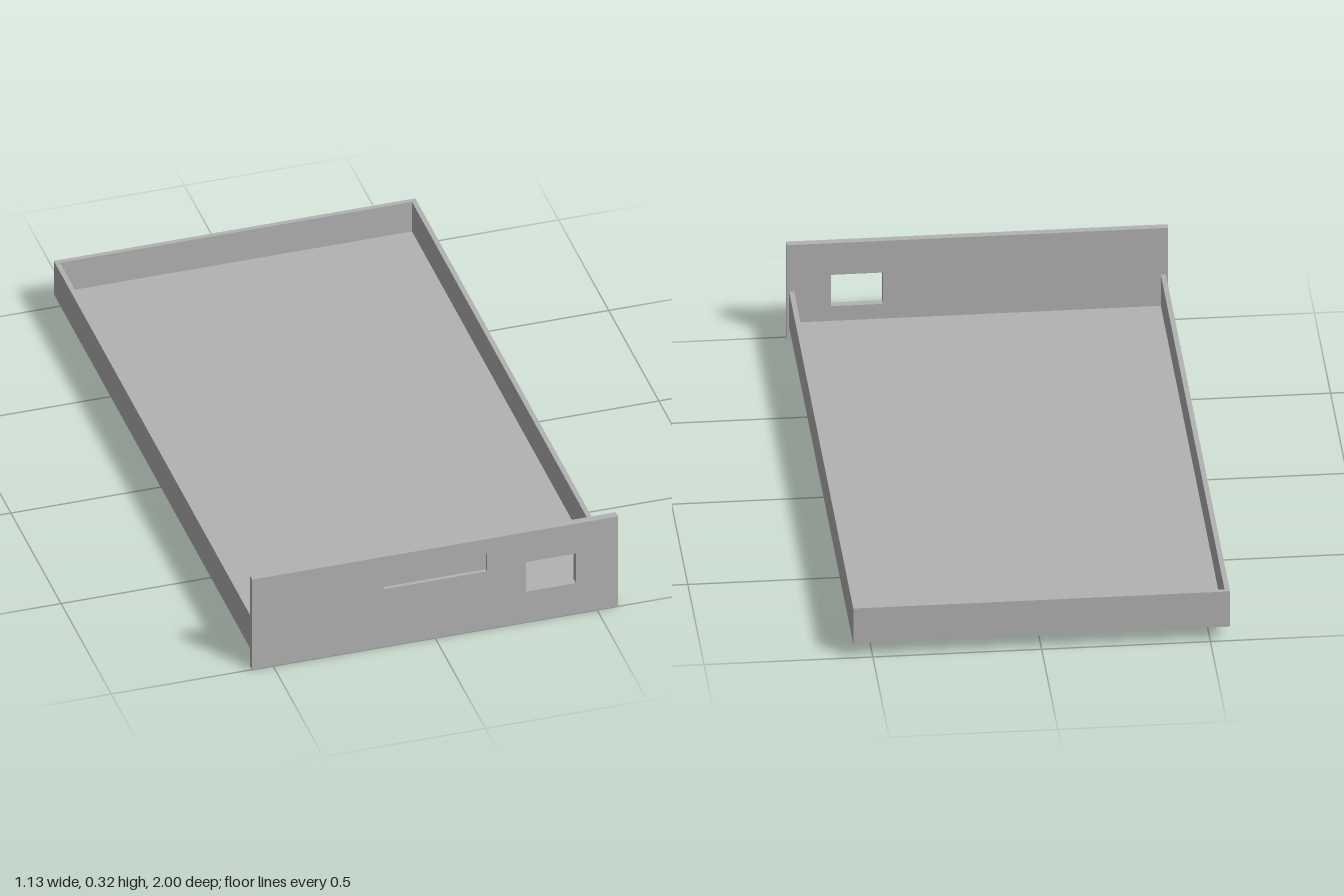
import * as THREE from 'three';

const grey = new THREE.MeshStandardMaterial({ color: 0xb2b2b2 });
grey.name = 'plain grey';

// Box given by its minimum and maximum corners
function block(name, [x0, y0, z0], [x1, y1, z1]) {
  const mesh = new THREE.Mesh(new THREE.BoxGeometry(x1 - x0, y1 - y0, z1 - z0), grey);
  mesh.name = name;
  mesh.position.set((x0 + x1) / 2, (y0 + y1) / 2, (z0 + z1) / 2);
  return mesh;
}

function rectangle(Type, x0, y0, x1, y1) {
  const path = new Type();
  path.moveTo(x0, y0).lineTo(x1, y0).lineTo(x1, y1).lineTo(x0, y1).closePath();
  return path;
}

// Rectangular panel layer with rectangular openings
function panelLayer(name, z0, z1, openings) {
  const shape = rectangle(THREE.Shape, -0.565, 0, 0.565, 0.32);
  openings.forEach((o) => shape.holes.push(rectangle(THREE.Path, ...o)));
  const geometry = new THREE.ExtrudeGeometry(shape, { depth: z1 - z0, bevelEnabled: false });
  const mesh = new THREE.Mesh(geometry, grey);
  mesh.name = name;
  mesh.position.z = z0;
  return mesh;
}

export function createModel() {
  const model = new THREE.Group();
  model.name = 'drawer';

  // Open tray: floor, back wall and two side walls; the panel closes the front
  const W = 0.558, T = 0.015, low = 0.047, floorTop = 0.06, high = 0.165, front = 0.977;
  const tray = new THREE.Group();
  tray.name = 'tray';
  tray.add(block('floor', [-W, low, -1], [W, floorTop, front]));
  tray.add(block('backWall', [-W, floorTop, -1], [W, high, -1 + T]));
  tray.add(block('leftWall', [W - T, floorTop, -1 + T], [W, high, front]));
  tray.add(block('rightWall', [-W, floorTop, -1 + T], [-W + T, high, front]));

  // Front panel: the window runs through both layers, the label recess only the outer one
  const windowHole = [0.28, 0.109, 0.434, 0.214];
  const labelRecess = [-0.16, 0.205, 0.16, 0.268];
  const panel = new THREE.Group();
  panel.name = 'frontPanel';
  panel.add(panelLayer('panelBack', front, 0.988, [windowHole]));
  panel.add(panelLayer('panelFace', 0.988, 1, [windowHole, labelRecess]));

  model.add(tray, panel);
  return model;
}
